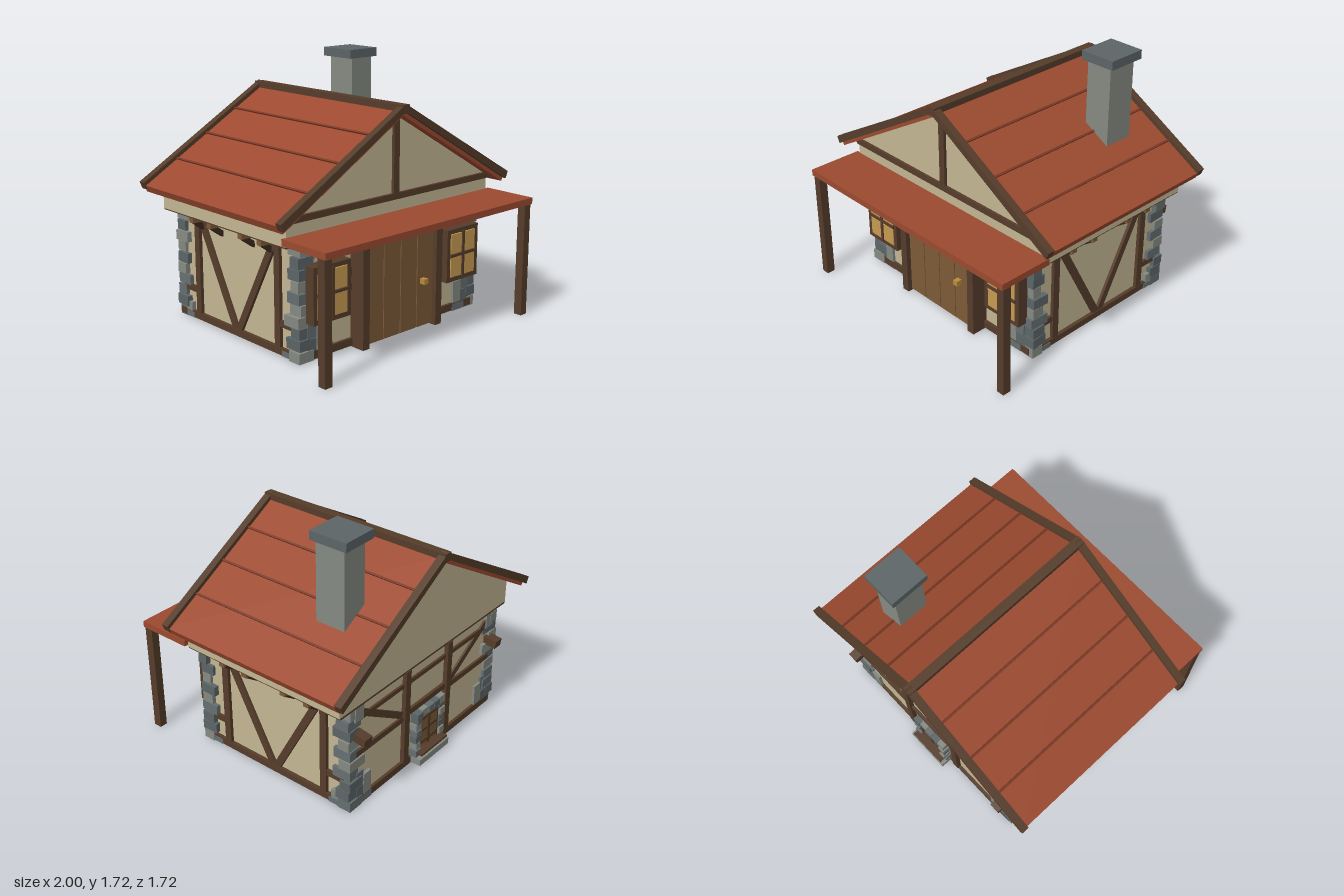
import * as THREE from 'three';

const mat = (color) => new THREE.MeshStandardMaterial({ color, flatShading: true });
const WOOD = mat(0x553c2a), DARK = mat(0x3a2a1e), PLANK = mat(0x7d5a36), WALL = mat(0xc4b693);
const TILE = mat(0x9c4a30), SEAM = mat(0x7a3824), GLASS = mat(0xc69b50), METAL = mat(0xb98a3c);
const STONES = [mat(0x666f70), mat(0x858a82), mat(0x5c6567)];

export function createModel() {
  const root = new THREE.Group();
  root.name = 'timberFramedHouse';

  const add = (name, geo, m) => {
    const mesh = new THREE.Mesh(geo, m);
    mesh.name = name;
    root.add(mesh);
    return mesh;
  };
  // box given by its limits; corners may come in either order
  const box = (name, m, x0, x1, y0, y1, z0, z1) => {
    const mesh = add(name, new THREE.BoxGeometry(Math.abs(x1 - x0), Math.abs(y1 - y0), Math.abs(z1 - z0)), m);
    mesh.position.set((x0 + x1) / 2, (y0 + y1) / 2, (z0 + z1) / 2);
    return mesh;
  };
  // slanted timber from a to b
  const brace = (name, m, a, b, w, d) => {
    const p = new THREE.Vector3(...a), q = new THREE.Vector3(...b);
    const mesh = add(name, new THREE.BoxGeometry(w, p.distanceTo(q), d), m);
    mesh.position.copy(p).add(q).multiplyScalar(0.5);
    mesh.quaternion.setFromUnitVectors(new THREE.Vector3(0, 1, 0), q.sub(p).normalize());
    return mesh;
  };
  // cross-section in x/y, extended from z0 to z1
  const prism = (name, m, pts, z0, z1) => {
    const shape = new THREE.Shape(pts.map(([x, y]) => new THREE.Vector2(x, y)));
    const geo = new THREE.ExtrudeGeometry(shape, { depth: z1 - z0, bevelEnabled: false });
    add(name, geo, m).position.z = z0;
  };
  let seed = 7;
  const rnd = (a, b) => {
    seed = (seed * 16807) % 2147483647;
    return a + (b - a) * seed / 2147483647;
  };

  // lower walls, hollow and open below
  box('frontWall', WALL, -0.76, 0.76, 0.01, 0.75, 0.44, 0.465);
  box('backWall', WALL, -0.76, 0.76, 0.01, 0.75, -0.735, -0.71);
  for (const s of [-1, 1]) box('sideWall', WALL, s * 0.735, s * 0.76, 0.01, 0.75, -0.735, 0.465);

  // overhanging upper storey with its gables
  prism('upperStorey', WALL,
    [[-0.885, 0.75], [0.885, 0.75], [0.885, 0.92], [0, 1.43], [-0.885, 0.92]], -0.755, 0.485);
  box('upperFloorEdge', WOOD, -0.88, 0.88, 0.74, 0.752, -0.757, 0.48);
  box('gableTie', WOOD, -0.885, 0.885, 0.89, 0.93, 0.47, 0.505);
  box('gableKingPost', WOOD, -0.024, 0.024, 0.93, 1.42, 0.47, 0.505);

  // roof
  const K = 0.571;
  const chevron = (top, t, w) => [[-w, top - K * w], [0, top], [w, top - K * w],
    [w - 0.02, top - K * w - t], [0, top - t], [-w + 0.02, top - K * w - t]];
  prism('roofTiles', TILE, chevron(1.47, 0.045, 0.985), -0.825, 0.555);
  for (const z of [-0.855, 0.53]) prism('vergeBoard', WOOD, chevron(1.5, 0.047, 1), z, z + 0.05);
  box('ridgeBeam', WOOD, -0.03, 0.03, 1.44, 1.495, -0.855, 0.58);
  for (const s of [-1, 1]) for (const x of [0.245, 0.49, 0.735]) {
    const seam = box('tileSeam', SEAM, s * x - 0.007, s * x + 0.007, 1.464 - K * x, 1.48 - K * x, -0.805, 0.53);
    seam.rotation.z = -s * Math.atan(K);
  }

  // chimney
  box('chimneyStack', STONES[1], 0.42, 0.605, 1.05, 1.66, -0.56, -0.347);
  box('chimneyCap', STONES[2], 0.385, 0.635, 1.66, 1.72, -0.595, -0.325);

  // porch
  box('porchRoof', TILE, -0.915, 0.915, 0.767, 0.81, 0.48, 0.86);
  for (const s of [-1, 1]) box('porchPost', WOOD, s * 0.857, s * 0.912, 0, 0.768, 0.79, 0.848);

  // door
  for (let i = 0; i < 4; i++)
    box('doorPlank', PLANK, -0.3 + i * 0.15 + 0.003, -0.153 + i * 0.15, 0.015, 0.685, 0.46, 0.55);
  box('doorBacking', DARK, -0.3, 0.3, 0.015, 0.68, 0.45, 0.54);
  for (const s of [-1, 1]) {
    box('doorJamb', WOOD, s * 0.3, s * 0.355, 0, 0.76, 0.45, 0.58);
    box('doorHeadBlock', WOOD, s * 0.2, s * 0.255, 0.68, 0.715, 0.45, 0.54);
  }
  box('doorLintel', WOOD, -0.355, 0.355, 0.71, 0.76, 0.45, 0.58);
  box('doorKnob', METAL, 0.18, 0.215, 0.307, 0.343, 0.54, 0.59);

  // front windows
  for (const s of [-1, 1]) {
    box('windowBacking', WOOD, s * 0.45, s * 0.72, 0.26, 0.6, 0.45, 0.53);
    for (const x of [0.435, 0.705]) box('windowStile', WOOD, s * x, s * (x + 0.03), 0.25, 0.61, 0.46, 0.553);
    for (const y of [0.25, 0.58]) box('windowRail', WOOD, s * 0.435, s * 0.735, y, y + 0.03, 0.46, 0.553);
    box('windowMullion', WOOD, s * 0.575, s * 0.595, 0.27, 0.59, 0.5, 0.563);
    box('windowTransom', WOOD, s * 0.46, s * 0.71, 0.42, 0.44, 0.5, 0.563);
    for (const x of [0.468, 0.598]) for (const y of [0.282, 0.443])
      box('windowPane', GLASS, s * x, s * (x + 0.104), y, y + 0.134, 0.51, 0.557);
  }

  // timber frame of the front and back walls
  for (const z of [0.455, -0.725]) {
    box('sillBeam', WOOD, -0.76, 0.76, 0.01, 0.06, z - 0.03, z + 0.03);
    for (const s of [-1, 1]) {
      box('midRail', WOOD, s * 0.2, s * 0.72, 0.375, 0.415, z - 0.025, z + 0.025);
      brace('wallBrace', WOOD, [s * 0.7, 0.7, z], [s * 0.26, 0.43, z], 0.045, 0.048);
    }
  }
  box('backMidRail', WOOD, -0.25, 0.25, 0.4, 0.44, -0.755, -0.7);
  box('backUpperRail', WOOD, -0.72, 0.72, 0.63, 0.66, -0.75, -0.7);
  for (const s of [-1, 1]) {
    box('backStud', WOOD, s * 0.2, s * 0.25, 0.05, 0.745, -0.765, -0.69);
    brace('cornerPeg', WOOD, [s * 0.71, 0.545, -0.7], [s * 0.71, 0.525, -0.83], 0.07, 0.055);
  }

  // timber frame of the side walls, with joists under the overhang
  for (const s of [-1, 1]) {
    const x = s * 0.755;
    box('sideSill', WOOD, s * 0.725, s * 0.785, 0.01, 0.055, -0.74, 0.47);
    for (const z of [0.27, -0.54]) box('sideStud', WOOD, s * 0.725, s * 0.783, 0.05, 0.75, z - 0.025, z + 0.025);
    brace('sideBrace', WOOD, [x, 0.7, 0.23], [x, 0.05, -0.12], 0.05, 0.05);
    brace('sideBrace', WOOD, [x, 0.7, -0.5], [x, 0.05, -0.15], 0.05, 0.05);
    box('sideShortRail', WOOD, s * 0.73, s * 0.78, 0.19, 0.23, 0.29, 0.44);
    box('sideShortRail', WOOD, s * 0.73, s * 0.78, 0.19, 0.23, -0.56, -0.7);
    for (const z of [0.21, 0.022, -0.295, -0.48]) {
      box('joistEnd', PLANK, s * 0.72, s * 0.865, 0.7, 0.742, z - 0.02, z + 0.02);
      brace('joistStrut', DARK, [s * 0.845, 0.71, z], [s * 0.755, 0.645, z], 0.035, 0.03);
    }
  }

  // stone quoins: long and short stones stacked at each corner, spreading at the foot
  for (const sx of [-1, 1]) for (const [cz, sz] of [[0.49, 1], [-0.76, -1]]) {
    const n = 10, top = 0.74;
    for (let i = 0; i < n; i++) {
      const y0 = i * top / n, y1 = y0 + top / n - 0.004, long = i % 2 === 0;
      const lx = (long ? 0.13 : 0.085) + rnd(-0.015, 0.02), lz = (long ? 0.08 : 0.115) + rnd(-0.015, 0.02);
      const ox = 0.8 - rnd(0, 0.022), oz = cz - sz * rnd(0, 0.015);
      const stone = box('quoinStone', STONES[(i + Math.floor(rnd(0, 2))) % 3],
        sx * ox, sx * (ox - lx), y0 + 0.002, y1, oz, oz - sz * lz);
      stone.rotation.y = rnd(-0.05, 0.05);
      stone.rotation.z = i > 0 ? rnd(-0.03, 0.03) : 0;
    }
    // flat facing stones: inner x, outer x, low y, high y
    const facing = [[0.57, 0.69, 0.005, 0.055], [0.58, 0.65, 0.06, 0.21], [0.65, 0.72, 0.06, 0.14],
      [0.65, 0.72, 0.145, 0.25], [0.66, 0.74, 0.64, 0.74]];
    facing.forEach(([a, b, y0, y1], i) => {
      const stone = box('facingStone', STONES[i % 3], sx * a, sx * b, y0, y1, cz - sz * 0.06, cz - sz * rnd(0, 0.01));
      if (i > 0) stone.rotation.z = rnd(-0.06, 0.06);
    });
    // matching low stones round on the side
    box('sideFootStone', STONES[0], sx * 0.74, sx * 0.79, 0.01, 0.045, cz - sz * 0.09, cz - sz * 0.17);
    if (sz < 0) box('sideFootStone', STONES[1], sx * 0.74, sx * 0.788, 0.05, 0.11, cz + 0.09, cz + 0.15);
  }

  // small stone-framed hatch at the back
  box('hatchBoards', PLANK, -0.1, 0.1, 0.09, 0.34, -0.77, -0.7);
  for (const x of [-0.1, 0, 0.1]) box('hatchBar', WOOD, x - 0.012, x + 0.012, 0.09, 0.34, -0.778, -0.72);
  for (const y of [0.13, 0.22, 0.31]) box('hatchBand', WOOD, -0.1, 0.1, y - 0.01, y + 0.01, -0.776, -0.72);
  for (const s of [-1, 1]) for (let i = 0; i < 6; i++)
    box('hatchJambStone', STONES[i % 3], s * 0.1, s * (0.14 + rnd(0, 0.018)),
      0.06 + i * 0.05, 0.107 + i * 0.05, -0.7, -0.785 - rnd(0, 0.012));
  for (let i = 0; i < 5; i++)
    box('hatchHeadStone', STONES[(i + 1) % 3], -0.15 + i * 0.06, -0.093 + i * 0.06,
      0.345, 0.385 + rnd(0, 0.015), -0.7, -0.785 - rnd(0, 0.012));
  box('hatchSill', WOOD, -0.14, 0.14, 0.08, 0.095, -0.72, -0.83);
  box('hatchStep', STONES[1], -0.16, 0.16, 0.015, 0.06, -0.72, -0.83);

  return root;
}
